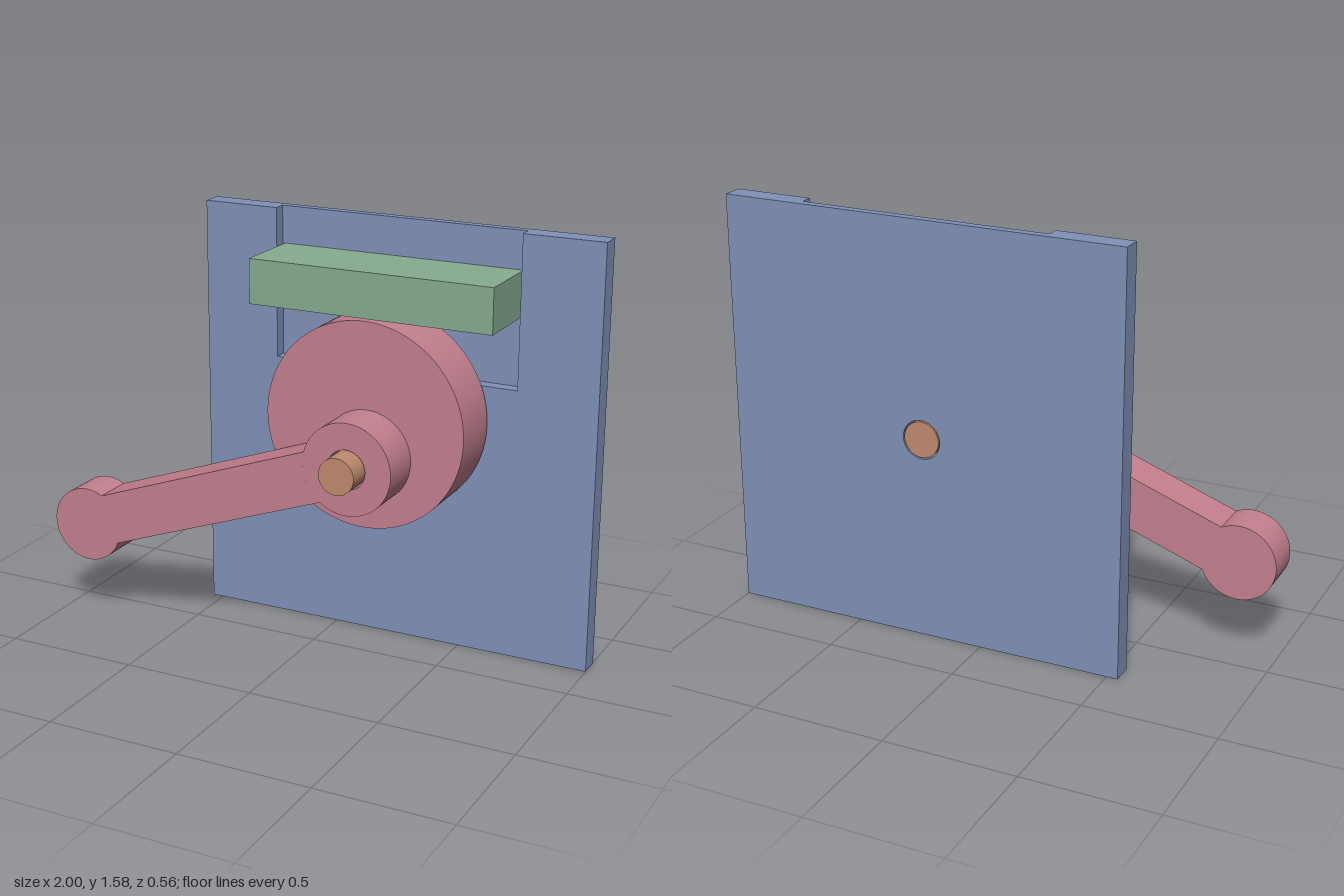
import * as THREE from 'three';
import { toCreasedNormals, mergeGeometries } from 'three/addons/utils/BufferGeometryUtils.js';

const AXIS = [0.227, 0.774];   // shaft axis in x, y
const BORE = 0.073;            // clearance hole radius
const BACK = -0.279, FLOOR = -0.246, FACE = -0.198;

const material = (color) => new THREE.MeshStandardMaterial({ color });
const blue = material(0x8091b8);
const pink = material(0xc4808f);
const green = material(0x86ab8f);
const copper = material(0xc08a6e);

function polygon(points) {
  return new THREE.Shape(points.map(([x, y]) => new THREE.Vector2(x, y)));
}

function disc(x, y, r) {
  const s = new THREE.Shape();
  s.absarc(x, y, r, 0, Math.PI * 2, false);
  return s;
}

// Cut the shaft bore through a shape
function bored(shape) {
  const hole = new THREE.Path();
  hole.absarc(...AXIS, BORE, 0, Math.PI * 2, true);
  shape.holes.push(hole);
  return shape;
}

// Extrude an outline between two depths
function slab(shape, z0, z1) {
  const g = new THREE.ExtrudeGeometry(shape, { depth: z1 - z0, bevelEnabled: false, curveSegments: 64 });
  g.translate(0, 0, z0);
  return toCreasedNormals(g, 0.5);
}

// Remove the cap lying in plane z, so joined slabs have no inner faces
function withoutCap(geometry, z) {
  const p = geometry.attributes.position;
  const keep = [];
  for (let i = 0; i < p.count; i += 3) {
    if ([0, 1, 2].some((k) => Math.abs(p.getZ(i + k) - z) > 1e-4)) keep.push(i, i + 1, i + 2);
  }
  geometry.setIndex(keep);
  return geometry.toNonIndexed();
}

function add(group, name, geometry, mat) {
  const mesh = new THREE.Mesh(geometry, mat);
  mesh.name = name;
  group.add(mesh);
  return mesh;
}

export function createModel() {
  const model = new THREE.Group();
  model.name = 'camClamp';

  // Back plate with a shallow guide slot open at the top
  const [x0, x1, top] = [-0.543, 1, 1.58];
  const [s0, s1, ledge] = [-0.251, 0.7, 1.019];
  const notched = bored(polygon([[x0, 0], [x1, 0], [x1, top], [s1, top], [s1, ledge], [s0, ledge], [s0, top], [x0, top]]));
  const full = bored(polygon([[x0, 0], [x1, 0], [x1, top], [x0, top]]));
  const slotFloor = new THREE.PlaneGeometry(s1 - s0, top - ledge).toNonIndexed();
  slotFloor.translate((s0 + s1) / 2, (top + ledge) / 2, FLOOR);
  add(model, 'backPlate', mergeGeometries([
    withoutCap(slab(notched, FLOOR, FACE), FLOOR),
    withoutCap(slab(full, BACK, FLOOR), FLOOR),
    slotFloor,
  ]), blue);

  // Follower block sliding in the slot
  const block = add(model, 'followerBlock', new THREE.BoxGeometry(0.931, 0.166, 0.275), green);
  block.position.set(0.2245, 1.358, -0.1065);

  // Shaft through plate, cam and hub
  const shaft = add(model, 'shaft', new THREE.CylinderGeometry(0.068, 0.068, 0.558, 64), copper);
  shaft.rotation.x = Math.PI / 2;
  shaft.position.set(...AXIS, 0);

  // Eccentric cam with its hub and lever
  const cam = new THREE.Group();
  cam.name = 'camAndLever';
  model.add(cam);
  add(cam, 'camDisc', slab(bored(disc(0.2125, 0.8835, 0.383)), -0.186, 0.031), pink);
  add(cam, 'hub', slab(bored(disc(...AXIS, 0.171)), 0.031, 0.199), pink);

  // Lever outline along +x from the hub, ending in a round knob
  const reach = 1.154, half = 0.095, hubR = 0.171, knobR = 0.142;
  const a = Math.asin(half / hubR), b = Math.asin(half / knobR);
  const outline = new THREE.Shape();
  outline.moveTo(hubR * Math.cos(a), -half);
  outline.absarc(reach, 0, knobR, -Math.PI + b, Math.PI - b, false);
  outline.absarc(0, 0, hubR, a, -a, true);
  const lever = add(cam, 'lever', slab(outline, 0.044, 0.199), pink);
  lever.position.set(...AXIS, 0);
  lever.rotation.z = Math.PI + 0.348;

  return model;
}
